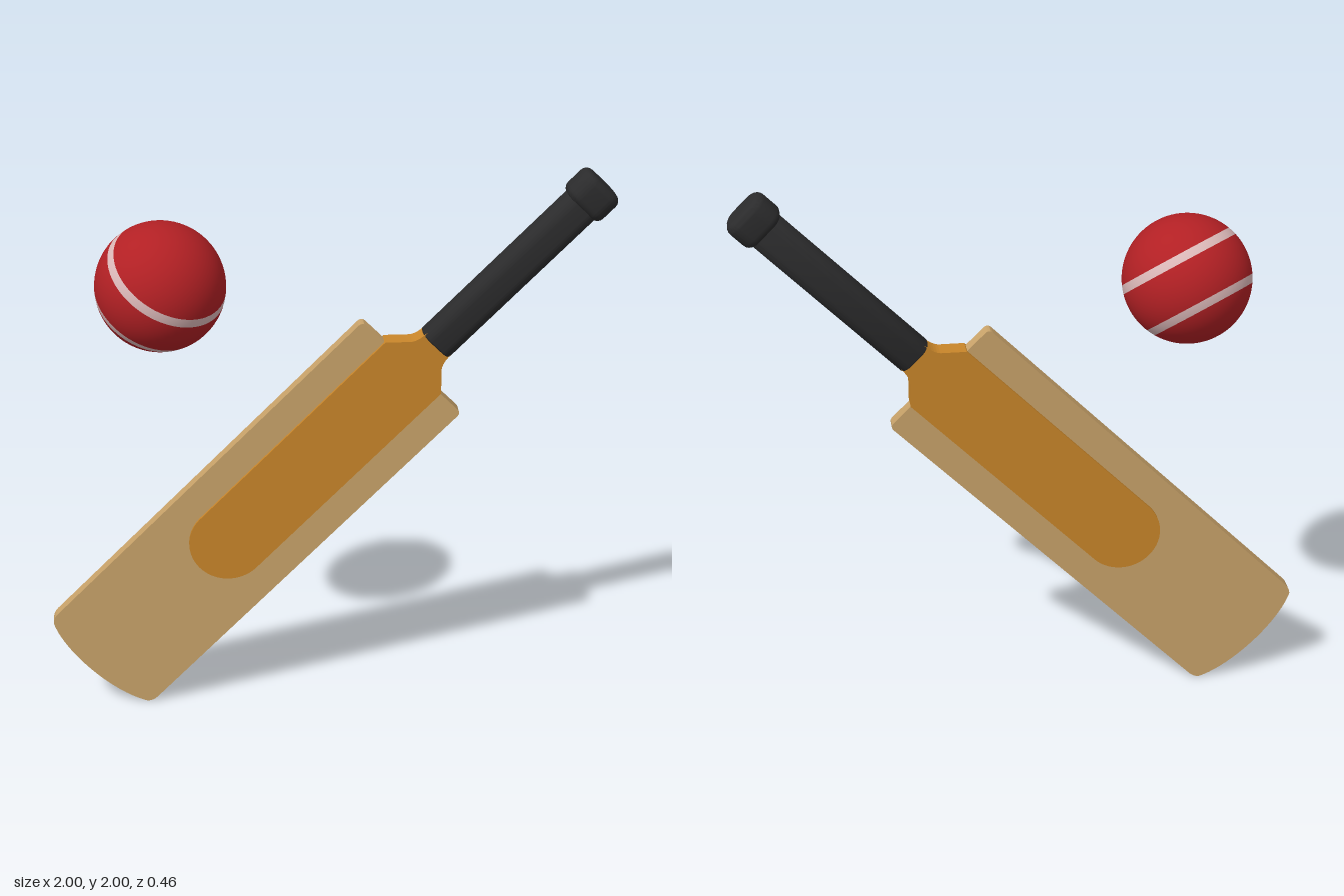
import * as THREE from 'three';
import { toCreasedNormals } from 'three/addons/utils/BufferGeometryUtils.js';

const material = (name, color) => {
  const m = new THREE.MeshStandardMaterial({ color });
  m.name = name;
  return m;
};

function mesh(name, geometry, mat, parent) {
  const m = new THREE.Mesh(geometry, mat);
  m.name = name;
  parent.add(m);
  return m;
}

// Flat slab cut from an outline, centred on z = 0
function slab(shape, thickness) {
  const g = new THREE.ExtrudeGeometry(shape, { depth: thickness, bevelEnabled: false, curveSegments: 20 });
  g.translate(0, 0, -thickness / 2);
  return toCreasedNormals(g, 0.5);
}

// Bar along y with a rounded rectangular section and softened ends
function roundedBar(halfX, halfZ, radius, y0, y1, bevel) {
  const x = halfX - bevel, z = halfZ - bevel, r = radius - bevel;
  const s = new THREE.Shape();
  s.moveTo(x, -z + r);
  s.absarc(x - r, z - r, r, 0, Math.PI / 2);
  s.absarc(-x + r, z - r, r, Math.PI / 2, Math.PI);
  s.absarc(-x + r, -z + r, r, Math.PI, Math.PI * 1.5);
  s.absarc(x - r, -z + r, r, Math.PI * 1.5, Math.PI * 2);
  const g = new THREE.ExtrudeGeometry(s, {
    depth: y1 - y0 - 2 * bevel, bevelThickness: bevel, bevelSize: bevel, bevelSegments: 5, curveSegments: 8,
  });
  g.translate(0, 0, y0 + bevel);
  g.rotateX(-Math.PI / 2);
  return toCreasedNormals(g, 0.7);
}

export function createModel() {
  const wood = material('pale wood', 0xc9a36a);
  const core = material('orange wood', 0xc9862a);
  const rubber = material('black rubber', 0x2b2b2c);
  const leather = material('red leather', 0xb22024);
  const thread = material('pale thread', 0xdbb8b8);

  const model = new THREE.Group();
  model.name = 'batAndBall';

  // Bat, built upright and then leaned 45 degrees
  const bat = new THREE.Group();
  bat.name = 'bat';
  bat.position.y = 1;
  bat.rotation.z = -Math.PI / 4;
  model.add(bat);

  // Blade with a bowed toe
  const blade = new THREE.Shape();
  blade.moveTo(-0.25, 0.4);
  blade.lineTo(-0.25, -1.14);
  blade.quadraticCurveTo(-0.25, -1.165, -0.235, -1.18);
  blade.bezierCurveTo(-0.12, -1.24, 0.12, -1.24, 0.235, -1.18);
  blade.quadraticCurveTo(0.25, -1.165, 0.25, -1.14);
  blade.lineTo(0.25, 0.4);
  blade.quadraticCurveTo(0.25, 0.42, 0.23, 0.42);
  blade.lineTo(-0.23, 0.42);
  blade.quadraticCurveTo(-0.25, 0.42, -0.25, 0.4);
  mesh('blade', slab(blade, 0.052), wood, bat);

  // Raised spine through both faces, narrowing to the neck
  const spine = new THREE.Shape();
  spine.moveTo(-0.141, 0.424);
  spine.lineTo(-0.141, -0.51);
  spine.absarc(0, -0.51, 0.141, Math.PI, Math.PI * 2);
  spine.lineTo(0.141, 0.424);
  spine.lineTo(0.08, 0.485);
  spine.quadraticCurveTo(0.06, 0.505, 0.06, 0.55);
  spine.lineTo(-0.06, 0.55);
  spine.quadraticCurveTo(-0.06, 0.505, -0.08, 0.485);
  mesh('spine', slab(spine, 0.076), core, bat);

  // Grip and end knob
  mesh('handle', roundedBar(0.068, 0.056, 0.045, 0.535, 1.26, 0.008), rubber, bat);
  mesh('knob', roundedBar(0.085, 0.069, 0.055, 1.235, 1.35, 0.028), rubber, bat);

  // Ball made of latitude bands, two of them stitched seams
  const ball = new THREE.Group();
  ball.name = 'ball';
  ball.position.set(-0.58, 1.615, 0);
  ball.quaternion.setFromUnitVectors(
    new THREE.Vector3(0, 1, 0), new THREE.Vector3(0.42, 0.8, 0.43).normalize());
  model.add(ball);
  const cuts = [0, 1.185, 1.325, 1.99, 2.13, Math.PI];
  for (let i = 0; i < 5; i++) {
    const seam = i % 2 === 1;
    const g = new THREE.SphereGeometry(0.228, 64, seam ? 4 : 18, 0, Math.PI * 2, cuts[i], cuts[i + 1] - cuts[i]);
    mesh(seam ? 'ballSeam' : 'ballLeather', g, seam ? thread : leather, ball);
  }
  return model;
}
